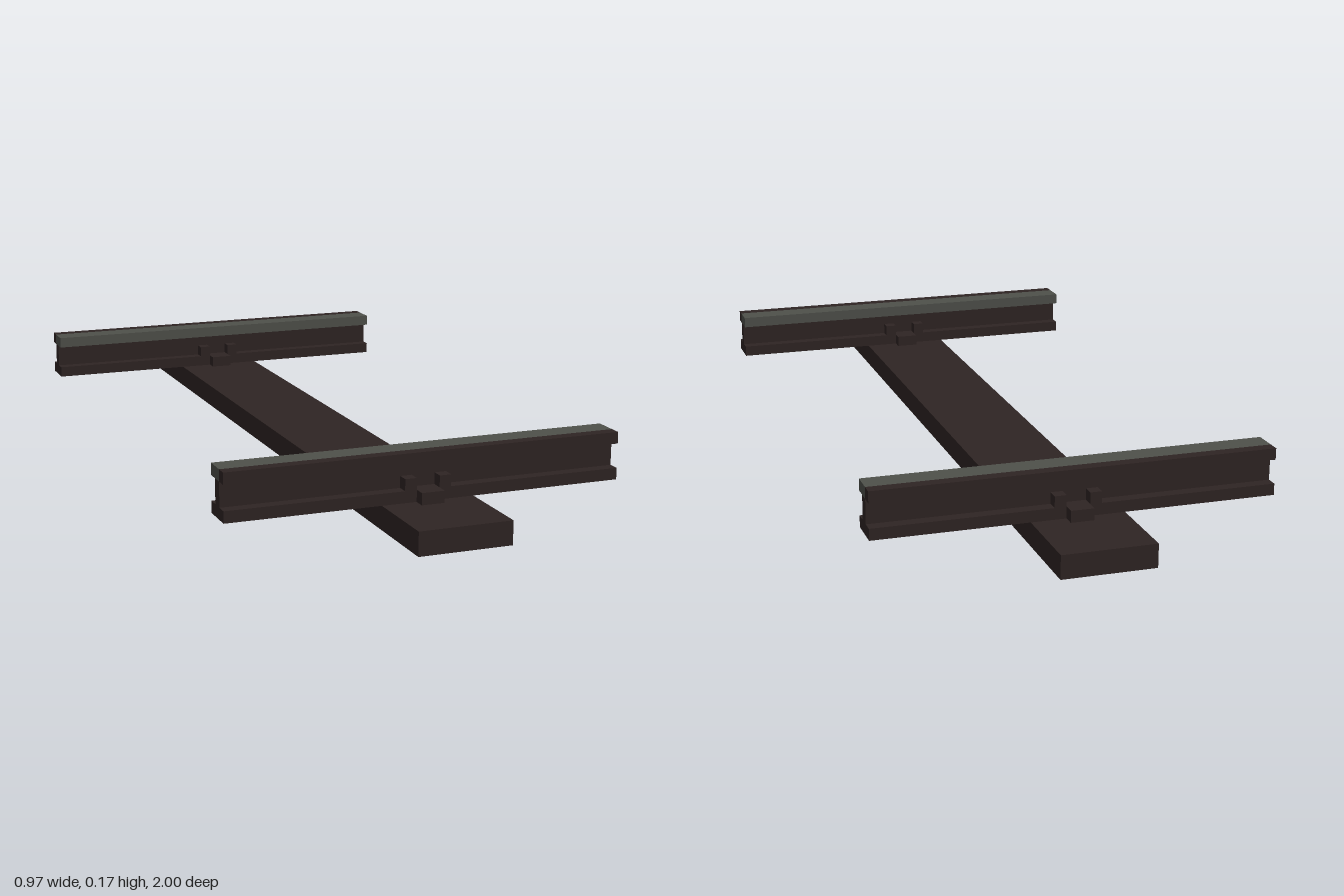
import * as THREE from 'three';

export function createModel() {
  const model = new THREE.Group();
  model.name = 'trackSection';

  const darkWood = new THREE.MeshStandardMaterial({ color: 0x2e2423 });
  darkWood.name = 'dark brown';
  const steel = new THREE.MeshStandardMaterial({ color: 0x4e504a });
  steel.name = 'worn steel grey';

  // Box given by its limits on each axis
  function box(parent, name, material, [x0, x1], [y0, y1], [z0, z1]) {
    const geometry = new THREE.BoxGeometry(x1 - x0, y1 - y0, z1 - z0);
    const mesh = new THREE.Mesh(geometry, material);
    mesh.position.set((x0 + x1) / 2, (y0 + y1) / 2, (z0 + z1) / 2);
    mesh.name = name;
    parent.add(mesh);
  }

  // Sleeper
  box(model, 'sleeper', darkWood, [-0.113, 0.113], [0, 0.057], [-1, 1]);

  // One rail with its fastening; local -z points to the middle of the track
  function rail(name) {
    const group = new THREE.Group();
    group.name = name;
    const length = [-0.485, 0.485];
    box(group, 'railFoot', darkWood, length, [0.057, 0.085], [-0.0425, 0.0425]);
    box(group, 'railWeb', darkWood, length, [0.085, 0.144], [-0.0142, 0.0142]);
    box(group, 'railHeadRunningSide', steel, length, [0.144, 0.172], [-0.0425, 0.0142]);
    box(group, 'railHeadOuterSide', darkWood, length, [0.144, 0.172], [0.0142, 0.0425]);

    // Fastening: low plate across the foot, with a raised lug on each side
    box(group, 'clipPlate', darkWood, [-0.028, 0.028], [0.057, 0.0855], [-0.071, 0.071]);
    for (const s of [-1, 1]) {
      const x = s * 0.0425;
      box(group, 'clipLug', darkWood, [x - 0.0142, x + 0.0142], [0.085, 0.113], [-0.0425, 0.0425]);
    }
    return group;
  }

  // Two rails facing each other
  const front = rail('frontRail');
  front.position.z = 0.758;
  const back = rail('backRail');
  back.position.z = -0.758;
  back.rotation.y = Math.PI;
  model.add(front, back);

  return model;
}
